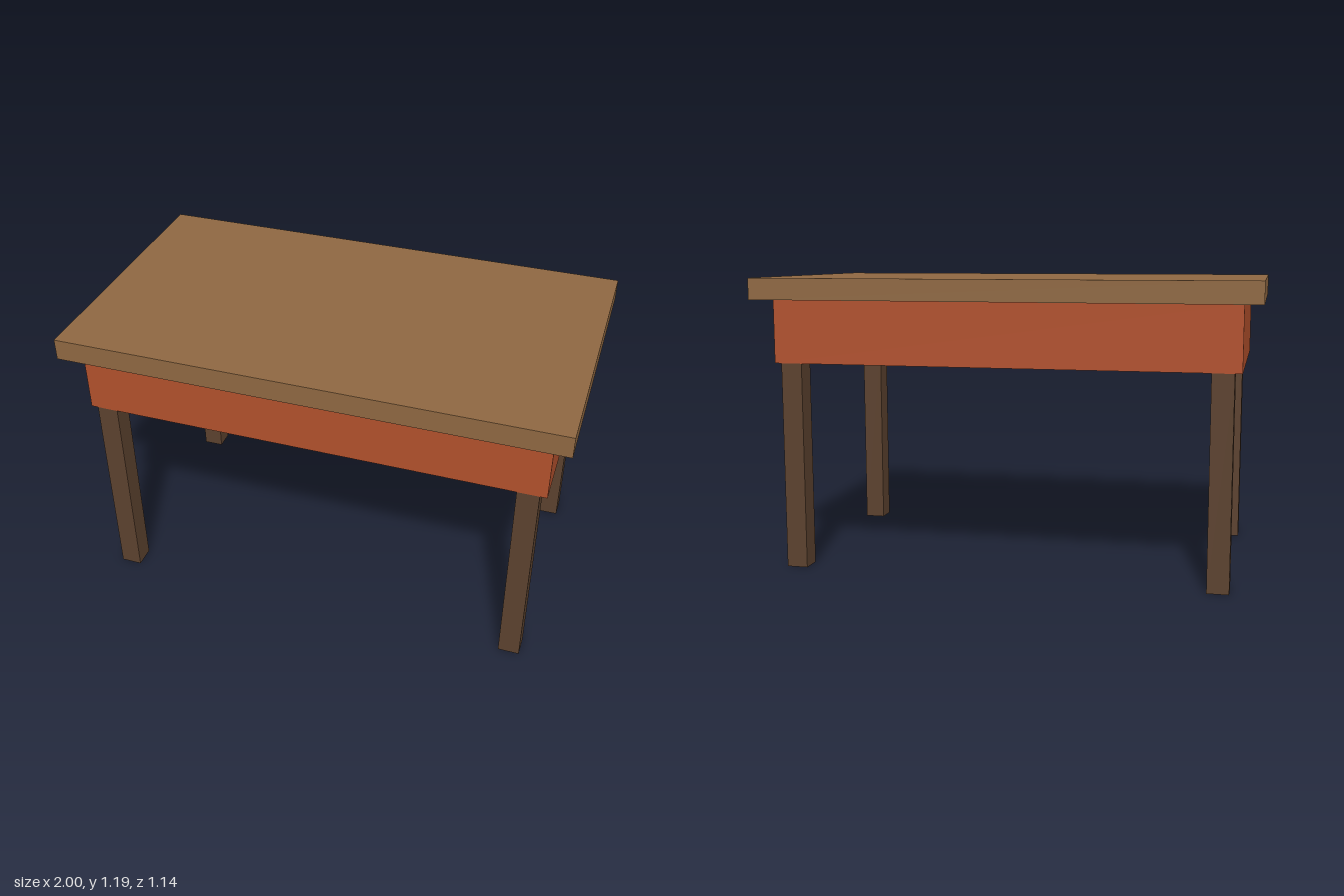
import * as THREE from 'three';

function material(name, color) {
  const m = new THREE.MeshStandardMaterial({ color });
  m.name = name;
  return m;
}

// Box standing on the height y0 and reaching y1
function slab(name, mat, width, depth, y0, y1, x = 0, z = 0) {
  const mesh = new THREE.Mesh(new THREE.BoxGeometry(width, y1 - y0, depth), mat);
  mesh.name = name;
  mesh.position.set(x, (y0 + y1) / 2, z);
  return mesh;
}

export function createModel() {
  const wood = material('lightWood', 0x8e6741);
  const darkWood = material('darkWood', 0x5b412e);
  const rust = material('rustPaint', 0xb0502c);

  const table = new THREE.Group();
  table.name = 'table';

  // Overhanging top and the closed drawer box below it
  table.add(slab('tableTop', wood, 2, 1.142, 1.1, 1.186));
  table.add(slab('apronBox', rust, 1.856, 1, 0.843, 1.1));

  // Four square legs, flush with the long sides of the box
  const legs = new THREE.Group();
  legs.name = 'legs';
  for (const sx of [-1, 1]) {
    for (const sz of [-1, 1]) {
      const name = (sz > 0 ? 'front' : 'back') + (sx > 0 ? 'Left' : 'Right') + 'Leg';
      legs.add(slab(name, darkWood, 0.086, 0.086, 0, 0.843, sx * 0.857, sz * 0.457));
    }
  }
  table.add(legs);
  return table;
}
